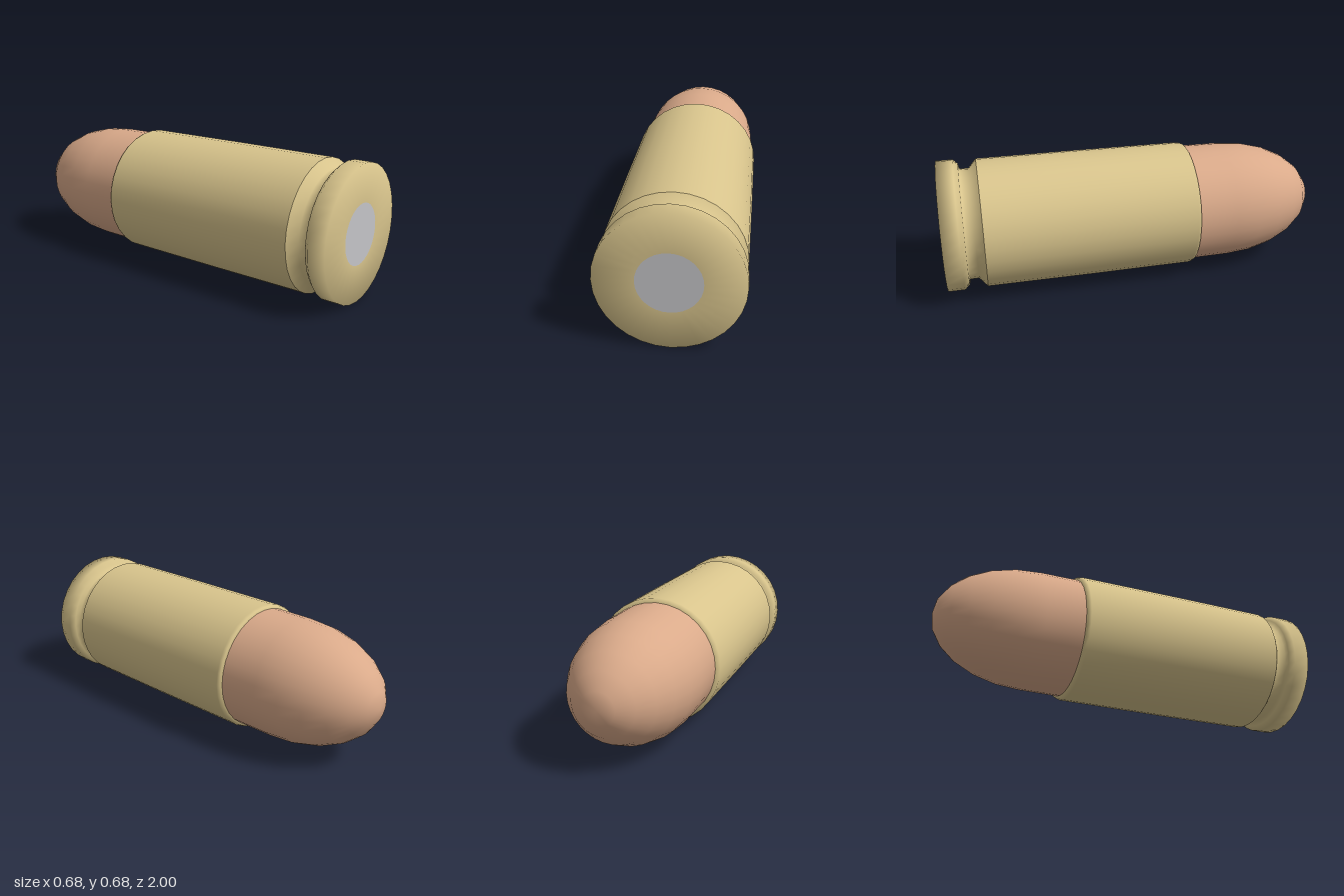
import * as THREE from 'three';
import { mergeVertices } from 'three/addons/utils/BufferGeometryUtils.js';

const SIDES = 32;
const AXIS_Y = 0.339;

function material(name, color) {
  const m = new THREE.MeshStandardMaterial({ color });
  m.name = name;
  return m;
}

// Turns a profile of [radius, z] pairs (from +z to -z) about the long axis.
function turned(name, profile, mat) {
  const points = profile.map(([r, z]) => new THREE.Vector2(r, -z));
  let geometry = new THREE.LatheGeometry(points, SIDES);
  geometry.deleteAttribute('uv');
  geometry.deleteAttribute('normal');
  geometry.rotateX(-Math.PI / 2);
  geometry = mergeVertices(geometry, 1e-5);
  geometry.computeVertexNormals();
  const mesh = new THREE.Mesh(geometry, mat);
  mesh.name = name;
  return mesh;
}

export function createModel() {
  const brass = material('brass', 0xd8c48c);
  const copper = material('copper', 0xdaaa8a);
  const steel = material('steel', 0xc4c4c8);

  const group = new THREE.Group();
  group.name = 'cartridge';

  // Base face, rim and extractor groove
  group.add(turned('rimAndGroove', [
    [0.15, 1], [0.338, 1], [0.338, 0.915], [0.314, 0.89],
    [0.287, 0.885], [0.287, 0.84], [0.333, 0.8],
  ], brass));

  // Case wall, slightly tapered, with a bevelled mouth
  group.add(turned('caseBody', [
    [0.333, 0.8], [0.333, 0.3], [0.33, -0.28], [0.324, -0.295], [0.309, -0.3],
  ], brass));

  // Bullet: short straight shank and an elliptical nose
  const nose = [[0.311, -0.28], [0.309, -0.5]];
  for (let i = 1; i <= 6; i++) {
    const t = (i / 6) * Math.PI / 2;
    nose.push([i === 6 ? 0 : 0.309 * Math.cos(t), -0.5 - 0.5 * Math.sin(t)]);
  }
  group.add(turned('bullet', nose, copper));

  // Primer disc, flush with the base
  const primer = new THREE.Mesh(new THREE.CircleGeometry(0.15, SIDES), steel);
  primer.name = 'primer';
  primer.position.z = 1;
  group.add(primer);

  for (const part of group.children) part.position.y = AXIS_Y;
  return group;
}
